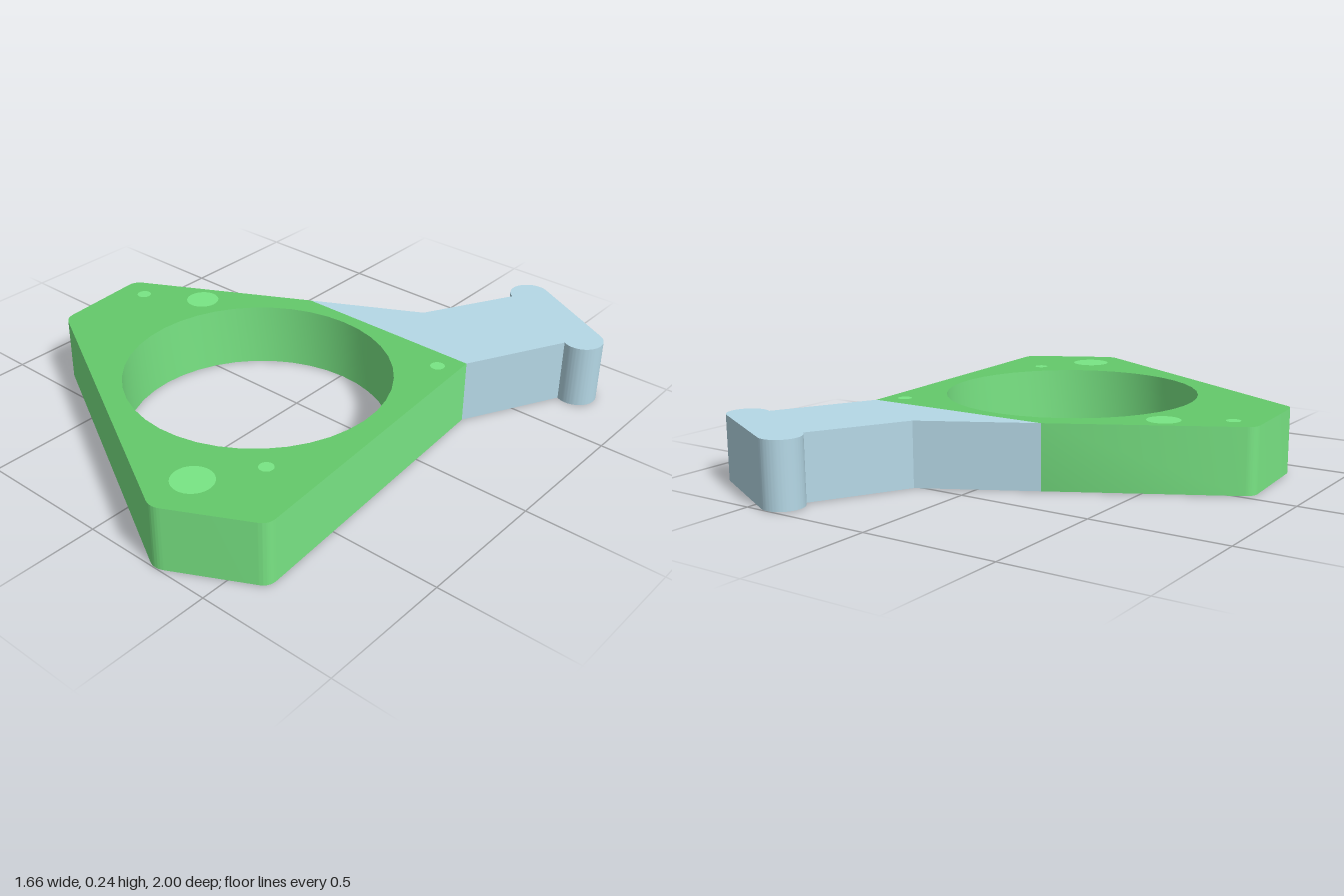
import * as THREE from 'three';
import { toCreasedNormals } from 'three/addons/utils/BufferGeometryUtils.js';

const BASE = 0.001, TOP = 0.24;
const green = new THREE.MeshStandardMaterial({ name: 'green', color: 0x64c96b });
const lightGreen = new THREE.MeshStandardMaterial({ name: 'light green', color: 0x79e584 });
const paleBlue = new THREE.MeshStandardMaterial({ name: 'pale blue', color: 0xb5d8e6 });

// Plan outlines use shape y = -z; the extrusion is laid flat afterwards.
// Materials: [flat faces, walls]
function slab(shape, materials, name) {
  let geo = new THREE.ExtrudeGeometry(shape, { depth: TOP - BASE, bevelEnabled: false, curveSegments: 20 });
  geo.rotateX(-Math.PI / 2).translate(0, BASE, 0);
  geo = toCreasedNormals(geo, 0.5);
  const mesh = new THREE.Mesh(geo, materials);
  mesh.name = name;
  return mesh;
}

// Rounds the corner at c on the way from a to b
function roundCorner(shape, a, c, b, r) {
  const A = new THREE.Vector2(a[0], -a[1]), C = new THREE.Vector2(c[0], -c[1]), B = new THREE.Vector2(b[0], -b[1]);
  const p = A.sub(C).setLength(r).add(C), q = B.sub(C).setLength(r).add(C);
  shape.lineTo(p.x, p.y);
  shape.quadraticCurveTo(C.x, C.y, q.x, q.y);
}

export function createModel() {
  const model = new THREE.Group();
  model.name = 'ringTag';

  // Triangular body with blunt rounded corners, a large round hole and lighter walls
  const pts = [[-0.2, -0.313], [-0.836, 0.03], [-0.807, 0.405], [0.29, 1.006], [0.618, 0.832], [0.531, -0.313]];
  const body = new THREE.Shape();
  body.moveTo(pts[0][0], -pts[0][1]);
  for (let i = 1; i < 5; i++) roundCorner(body, pts[i - 1], pts[i], pts[i + 1], 0.035);
  body.lineTo(pts[5][0], -pts[5][1]);
  body.closePath();
  const hole = new THREE.Path();
  hole.absarc(0.008, -0.216, 0.478, 0, Math.PI * 2, true);
  body.holes.push(hole);
  model.add(slab(body, [green, lightGreen], 'body'));

  // Stem ending in a crossbar with two round knobs
  const slope = 1.061, notch = -2.12;
  const stem = new THREE.Shape();
  stem.moveTo(-0.2, 0.313);
  stem.lineTo(0.19, 0.521);
  stem.lineTo(0.372, 0.86);
  stem.absarc(0.411, 0.925, 0.075, notch + Math.PI * 2, slope, true);
  stem.absarc(0.756, 0.739, 0.075, slope, notch, true);
  stem.lineTo(0.531, 0.313);
  stem.closePath();
  model.add(slab(stem, [paleBlue, paleBlue], 'stem'));

  // Pale spots on the upper and lower faces
  const spots = [[-0.523, -0.041, 0.061], [-0.728, 0.079, 0.026], [0.463, -0.231, 0.026], [0.293, 0.824, 0.073], [0.419, 0.624, 0.026]];
  for (const [x, z, r] of spots) {
    for (const up of [true, false]) {
      const spot = new THREE.Mesh(new THREE.CircleGeometry(r, 32), lightGreen);
      spot.name = up ? 'upperSpot' : 'lowerSpot';
      spot.rotation.x = up ? -Math.PI / 2 : Math.PI / 2;
      spot.position.set(x, up ? TOP + 0.001 : 0, z);
      model.add(spot);
    }
  }
  return model;
}
